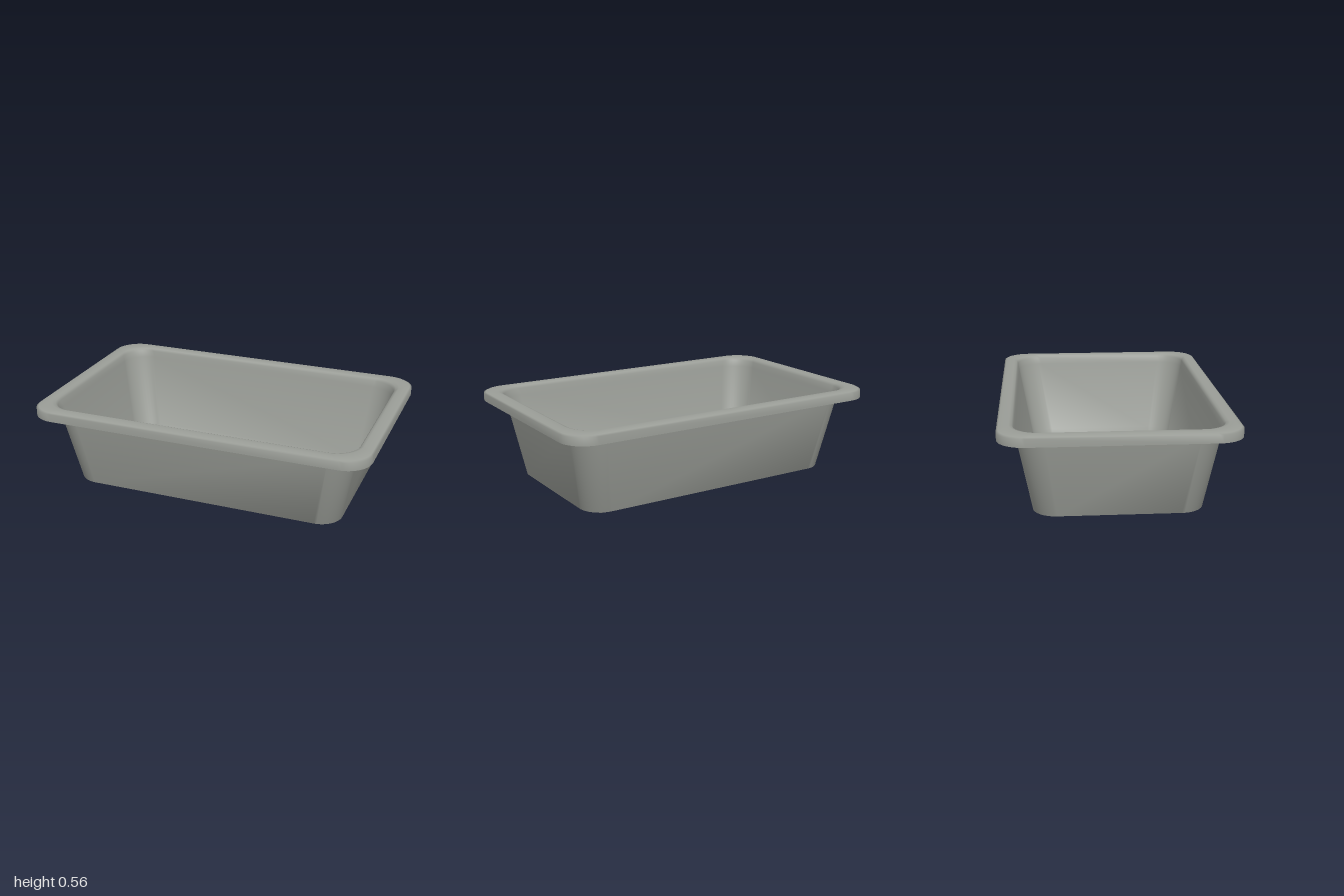
import * as THREE from 'three';

const grey = new THREE.MeshStandardMaterial({ color: 0x9a9d97, side: THREE.DoubleSide });
grey.name = 'sinkGrey';
const dark = new THREE.MeshStandardMaterial({ color: 0x2c2d2c, side: THREE.DoubleSide });
dark.name = 'drainGapDark';

const CORNER_STEPS = 12;

// Closed rounded rectangle at height y, given half sizes and corner radius
function roundedLoop([hx, hz, r, y]) {
  const points = [];
  const signs = [[1, 1], [-1, 1], [-1, -1], [1, -1]];
  signs.forEach(([sx, sz], k) => {
    for (let i = 0; i <= CORNER_STEPS; i++) {
      const a = (k + i / CORNER_STEPS) * Math.PI / 2;
      points.push(sx * (hx - r) + r * Math.cos(a), y, sz * (hz - r) + r * Math.sin(a));
    }
  });
  return points;
}

// Skin a sheet through the sections, closed by a fan at the centre of the first
function loft(sections) {
  const n = 4 * (CORNER_STEPS + 1);
  const positions = sections.flatMap(roundedLoop);
  const centre = positions.length / 3;
  positions.push(0, sections[0][3], 0);
  const index = [];
  for (let j = 0; j < n; j++) {
    const k = (j + 1) % n;
    index.push(centre, k, j);
    for (let s = 0; s < sections.length - 1; s++) {
      const a = s * n + j, b = s * n + k;
      index.push(a, b, a + n, b, b + n, a + n);
    }
  }
  const geometry = new THREE.BufferGeometry();
  geometry.setAttribute('position', new THREE.Float32BufferAttribute(positions, 3));
  geometry.setIndex(index);
  geometry.computeVertexNormals();
  return geometry;
}

function lathe(points) {
  return new THREE.LatheGeometry(points.map(([x, y]) => new THREE.Vector2(x, y)), 48);
}

export function createModel() {
  const model = new THREE.Group();
  model.name = 'sink';

  const add = (name, geometry, material, parent) => {
    const mesh = new THREE.Mesh(geometry, material);
    mesh.name = name;
    parent.add(mesh);
  };

  // Basin and rolled rim in one thin sheet: half width, half depth, radius, height
  add('basinAndRim', loft([
    [0.69, 0.34, 0.008, 0],
    [0.815, 0.465, 0.13, 0.05],
    [0.90, 0.55, 0.15, 0.497],
    [0.908, 0.556, 0.15, 0.535],
    [0.918, 0.565, 0.15, 0.549],
    [0.935, 0.58, 0.15, 0.555],
    [0.965, 0.61, 0.15, 0.554],
    [0.99, 0.635, 0.15, 0.549],
    [1.0, 0.645, 0.15, 0.542],
    [1.0, 0.645, 0.15, 0.497],
  ]), grey, model);

  // Drain: flange, dark gap and slightly domed stopper
  const drain = new THREE.Group();
  drain.name = 'drain';
  drain.position.set(0, 0, -0.15);
  model.add(drain);
  add('drainFlange', lathe([[0.125, 0.001], [0.122, 0.006], [0.102, 0.008], [0.102, 0.002]]), grey, drain);
  add('drainGap', lathe([[0.102, 0.003], [0.084, 0.003]]), dark, drain);
  add('drainStopper', lathe([[0.086, 0.002], [0.086, 0.009], [0.06, 0.012], [0.03, 0.013], [0, 0.0135]]), grey, drain);

  return model;
}
